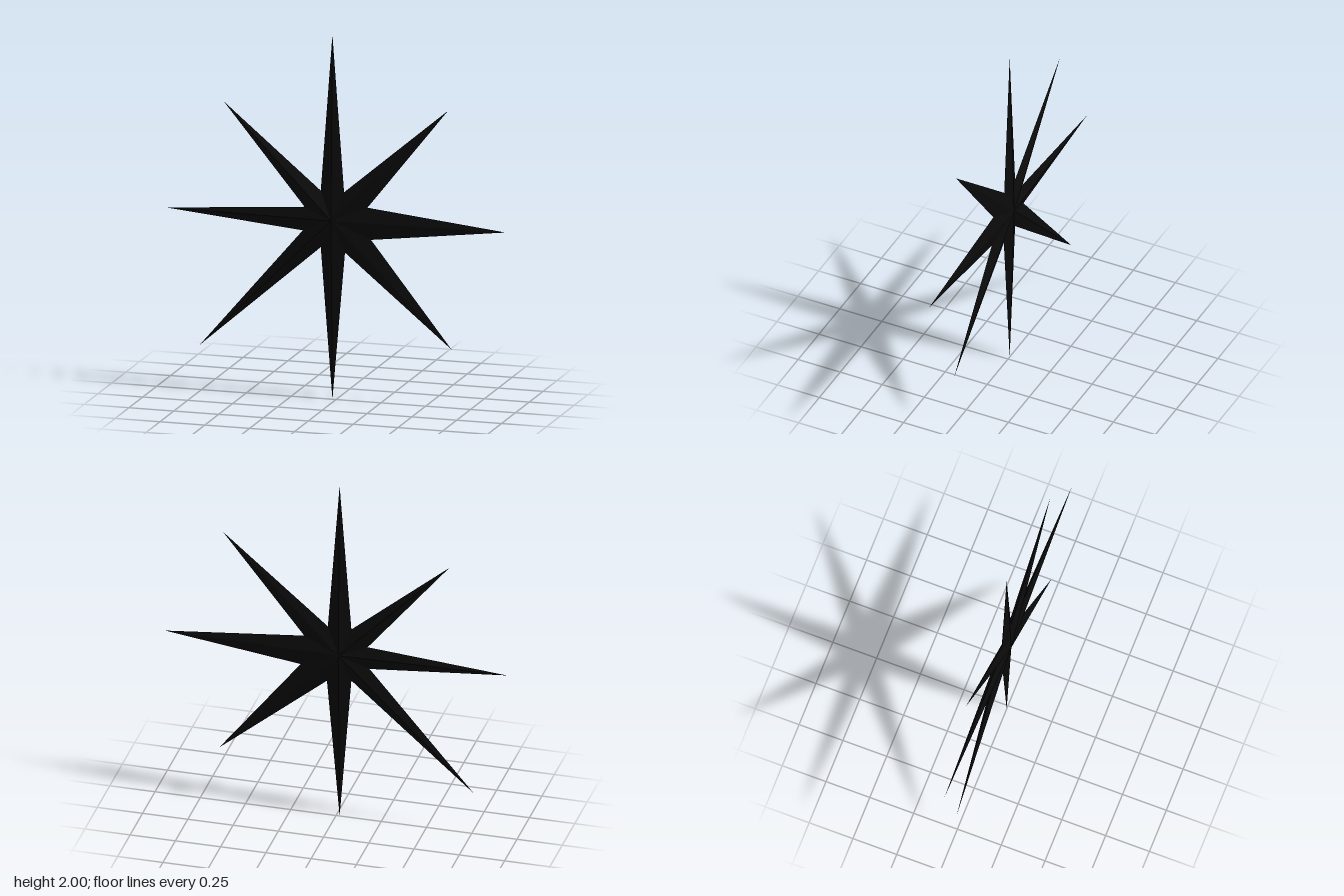
import * as THREE from 'three';

// Spike tips, clockwise from the top, each followed by the notch after it
const outline = [
  [-0.02, 2.0], [0.045, 1.14],
  [0.625, 1.63], [0.175, 1.065],
  [0.945, 0.985], [0.195, 0.89],
  [0.645, 0.32], [0.05, 0.81],
  [-0.02, 0.0], [-0.085, 0.83],
  [-0.76, 0.245], [-0.185, 0.915],
  [-0.945, 0.985], [-0.175, 1.045],
  [-0.625, 1.59], [-0.085, 1.14],
];
const centre = [-0.02, 0.985];
const halfDepth = 0.027;

// One spike: two facets in front and two behind, meeting on a ridge to the tip
function spikeGeometry(before, tip, after) {
  const positions = [];
  for (const side of [1, -1]) {
    const apex = [...centre, side * halfDepth];
    for (const [a, b] of [[before, tip], [tip, after]]) {
      const p = [...a, 0], q = [...b, 0];
      // the outline runs clockwise, so the front facets are reversed
      positions.push(...apex, ...(side > 0 ? [...q, ...p] : [...p, ...q]));
    }
  }
  const geometry = new THREE.BufferGeometry();
  geometry.setAttribute('position', new THREE.Float32BufferAttribute(positions, 3));
  geometry.computeVertexNormals();
  return geometry;
}

export function createModel() {
  const star = new THREE.Group();
  star.name = 'eightPointedStar';
  const black = new THREE.MeshStandardMaterial({ color: 0x0a0a0a, flatShading: true });
  const names = ['top', 'upperLeft', 'left', 'lowerLeft', 'bottom', 'lowerRight', 'right', 'upperRight'];
  const n = outline.length;

  names.forEach((name, i) => {
    const k = i * 2;
    const spike = new THREE.Mesh(
      spikeGeometry(outline[(k + n - 1) % n], outline[k], outline[k + 1]), black);
    spike.name = name + 'Spike';
    star.add(spike);
  });
  return star;
}
